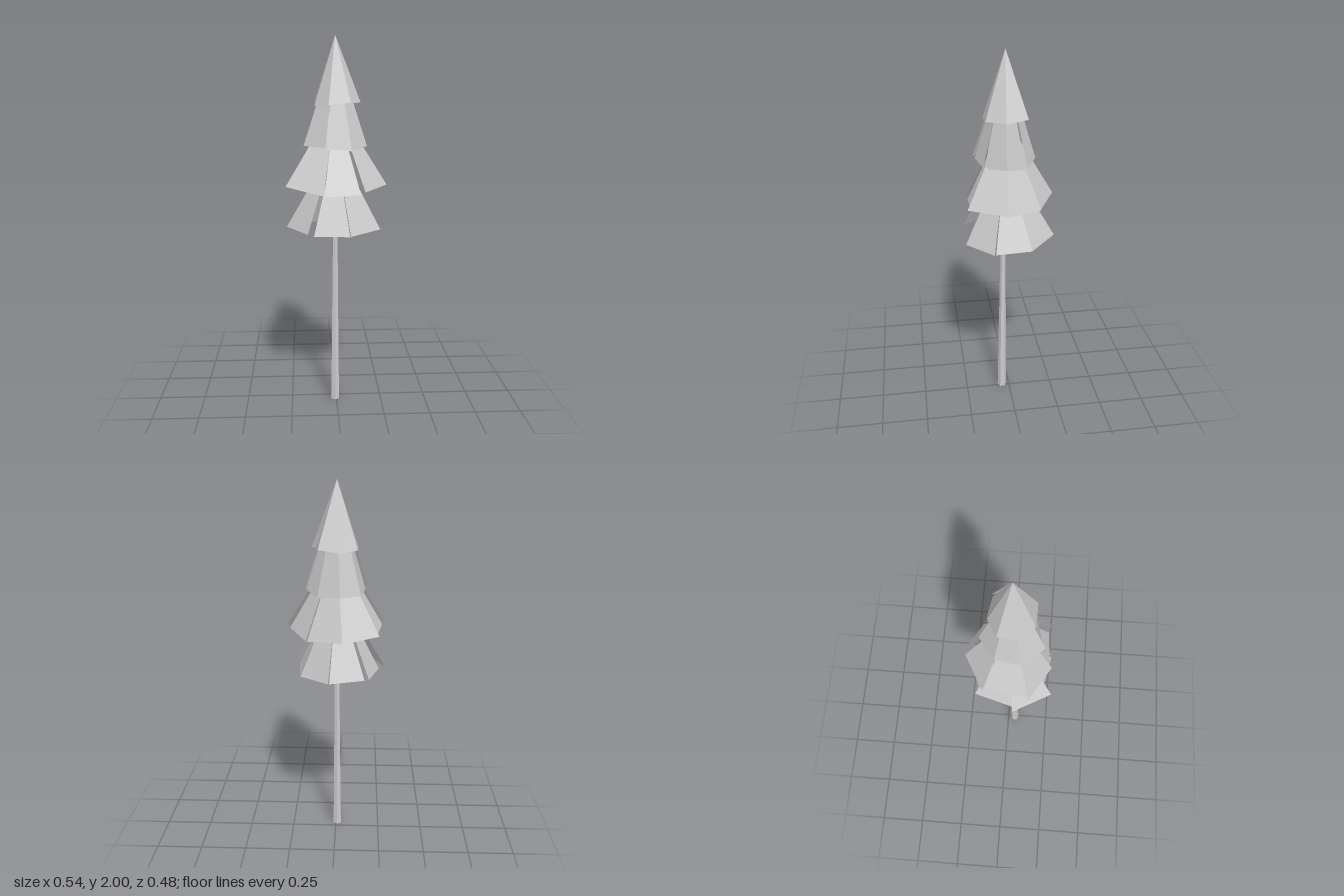
import * as THREE from 'three';

const AXIS = { x: -0.006, z: 0.015 };
const SIDES = 7;

// Each tier: tip height, mean rim height, rim rise per unit of extra radius,
// starting angle in degrees, and [start, end] rim radius of every frond.
const TIERS = [
  { name: 'topFoliage', tip: 2.0, rim: 1.655, rise: 0.8, mid: 0.128, start: -97,
    fronds: [[0.118, 0.135], [0.144, 0.13], [0.133, 0.132], [0.138, 0.12], [0.12, 0.116], [0.118, 0.122], [0.127, 0.116]] },
  { name: 'upperFoliage', tip: 1.95, rim: 1.425, rise: 0.7, mid: 0.158, start: -97,
    fronds: [[0.162, 0.14], [0.126, 0.16], [0.168, 0.141], [0.15, 0.165], [0.177, 0.178], [0.16, 0.15], [0.15, 0.162]] },
  { name: 'middleFoliage', tip: 1.66, rim: 1.21, rise: 0.55, mid: 0.245, start: -98,
    fronds: [[0.262, 0.218], [0.227, 0.254], [0.275, 0.26], [0.225, 0.21], [0.223, 0.282], [0.262, 0.243], [0.262, 0.241]] },
  { name: 'lowerFoliage', tip: 1.45, rim: 0.99, rise: 0.4, mid: 0.237, start: -82,
    fronds: [[0.262, 0.222], [0.225, 0.225], [0.253, 0.235], [0.225, 0.212], [0.27, 0.262], [0.23, 0.253], [0.22, 0.232]] },
];

// A ring of flat triangular fronds sharing one tip, with stepped seams between them
function foliageTier({ tip, rim, rise, mid, start, fronds }) {
  const points = [];
  const corner = (index, radius) => {
    const angle = THREE.MathUtils.degToRad(start + (index * 360) / SIDES);
    return [AXIS.x + radius * Math.cos(angle), rim + rise * (radius - mid), AXIS.z + radius * Math.sin(angle)];
  };
  fronds.forEach(([r0, r1], i) => {
    points.push(AXIS.x, tip, AXIS.z, ...corner(i + 1, r1), ...corner(i, r0));
  });
  const geometry = new THREE.BufferGeometry();
  geometry.setAttribute('position', new THREE.Float32BufferAttribute(points, 3));
  geometry.computeVertexNormals();
  return geometry;
}

export function createModel() {
  const model = new THREE.Group();
  model.name = 'pineTree';
  const material = new THREE.MeshStandardMaterial({ color: 0xcccccc, flatShading: true, side: THREE.DoubleSide });

  // Slender trunk, tapering and leaning slightly backward
  const height = 1.5;
  const trunkGeometry = new THREE.CylinderGeometry(0.008, 0.025, height, 6);
  trunkGeometry.translate(0, height / 2, 0);
  const pos = trunkGeometry.attributes.position;
  for (let i = 0; i < pos.count; i++) {
    const t = pos.getY(i) / height;
    pos.setX(i, pos.getX(i) - 0.008 + 0.002 * t);
    pos.setZ(i, pos.getZ(i) + 0.041 - 0.018 * t);
  }
  trunkGeometry.computeVertexNormals();
  const trunk = new THREE.Mesh(trunkGeometry, material);
  trunk.name = 'trunk';
  model.add(trunk);

  // Foliage tiers from top to bottom
  for (const tier of TIERS) {
    const mesh = new THREE.Mesh(foliageTier(tier), material);
    mesh.name = tier.name;
    model.add(mesh);
  }
  return model;
}
